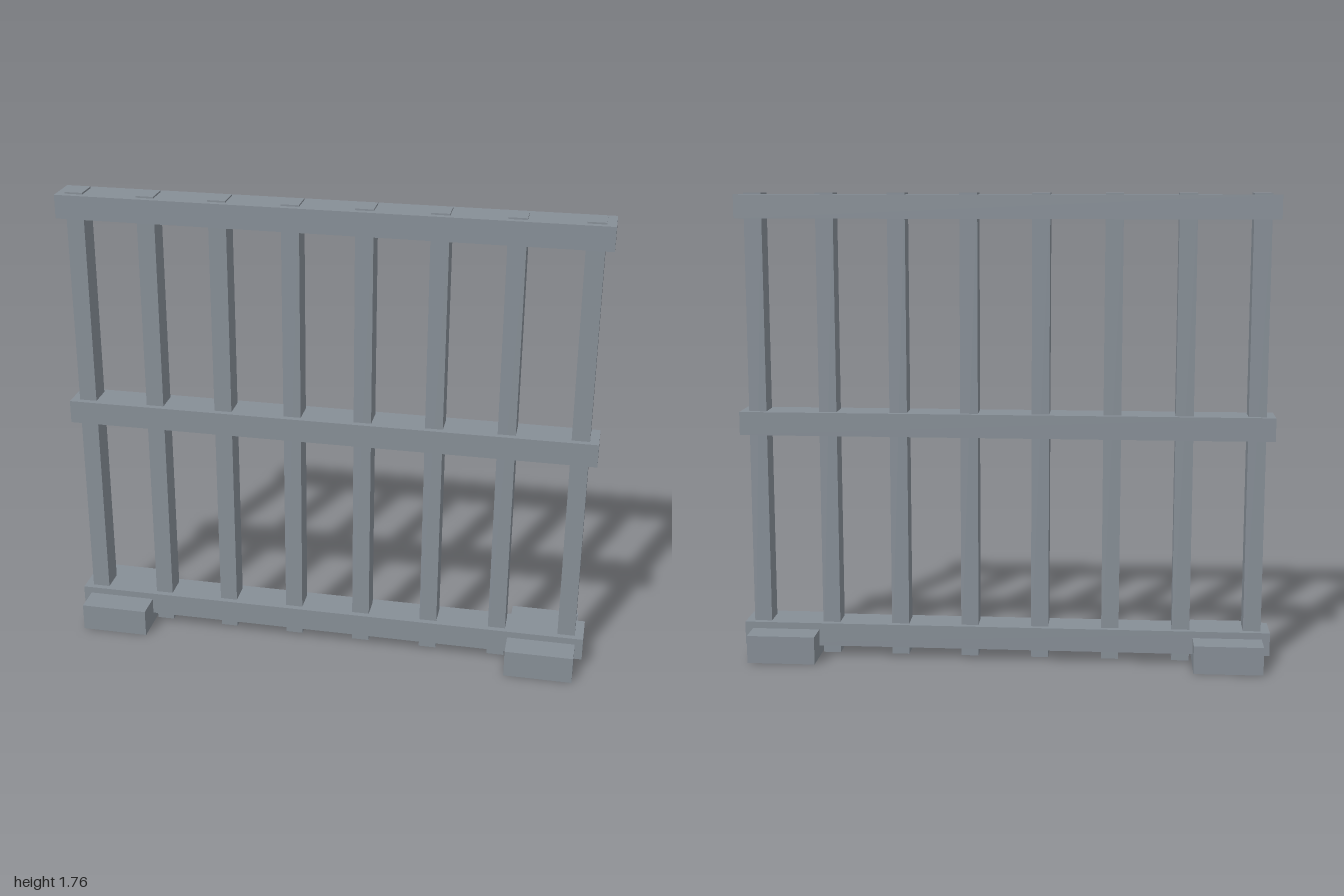
import * as THREE from 'three';

export function createModel() {
  const model = new THREE.Group();
  model.name = 'barredFence';
  const steel = new THREE.MeshStandardMaterial({ color: 0x868e96 });
  steel.name = 'grey steel';

  // Box standing from y0 to y1, centred on x and on z = 0
  const addBox = (name, x, y0, y1, width, depth) => {
    const mesh = new THREE.Mesh(new THREE.BoxGeometry(width, y1 - y0, depth), steel);
    mesh.name = name;
    mesh.position.set(x, (y0 + y1) / 2, 0);
    model.add(mesh);
  };

  // Upright bars, poking slightly out of the top and bottom rails
  const barCount = 8, outerBar = 0.934;
  for (let i = 0; i < barCount; i++) {
    const x = -outerBar + (2 * outerBar * i) / (barCount - 1);
    addBox(`bar${i + 1}`, x, 0.01, 1.763, 0.066, 0.09);
  }

  // Horizontal rails
  const rails = { bottomRail: 0.043, middleRail: 0.86, topRail: 1.669 };
  for (const [name, y] of Object.entries(rails)) addBox(name, 0, y, y + 0.088, 2, 0.136);

  // Feet
  addBox('leftFoot', 0.841, 0, 0.106, 0.258, 0.342);
  addBox('rightFoot', -0.841, 0, 0.106, 0.258, 0.342);

  return model;
}
